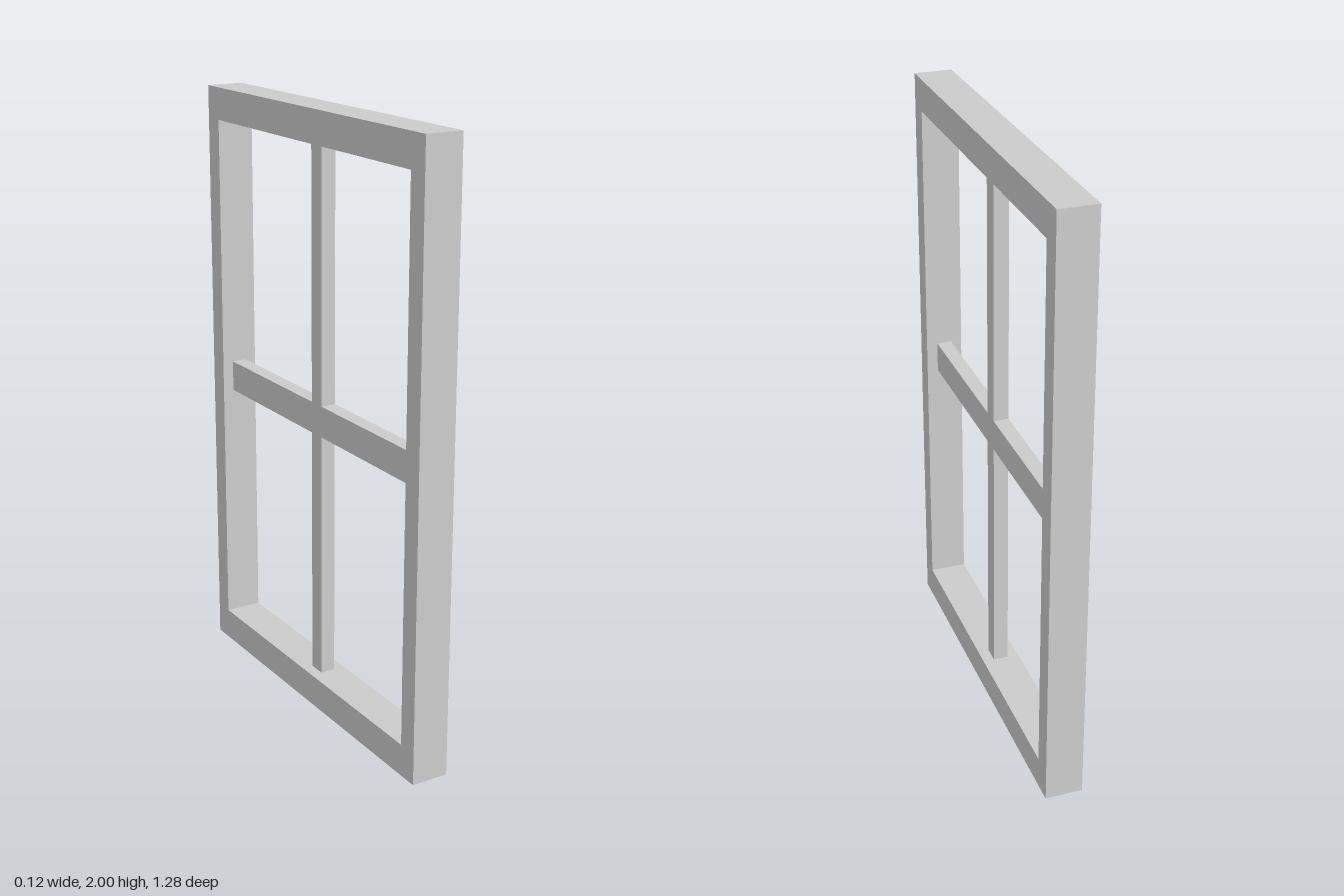
import * as THREE from 'three';

const HALF_WIDTH = 0.638, HEIGHT = 2;
const STILE = 0.069, RAIL = 0.107;               // frame member widths
const FRAME_DEPTH = 0.125, BAR_DEPTH = 0.05;
const BAR_HALF_W = 0.03, BAR_HALF_H = 0.052;     // glazing bar half widths

const material = new THREE.MeshStandardMaterial({ color: 0xcccccc, flatShading: true });

const points = (list) => list.map(([x, y]) => new THREE.Vector2(x, y));
const rect = (x, y0, y1) => points([[-x, y0], [x, y0], [x, y1], [-x, y1]]);

// Extrudes an outline centred on its depth and turns it to face along x
function panel(name, shape, depth) {
  const geometry = new THREE.ExtrudeGeometry(shape, { depth, bevelEnabled: false });
  geometry.translate(0, 0, -depth / 2).rotateY(Math.PI / 2);
  const mesh = new THREE.Mesh(geometry, material);
  mesh.name = name;
  return mesh;
}

export function createModel() {
  const model = new THREE.Group();
  model.name = 'windowFrame';

  const innerX = HALF_WIDTH - STILE, bottom = RAIL, top = HEIGHT - RAIL;

  // Outer frame with one large opening
  const outer = new THREE.Shape(rect(HALF_WIDTH, 0, HEIGHT));
  outer.holes.push(new THREE.Path(rect(innerX, bottom, top)));
  model.add(panel('outerFrame', outer, FRAME_DEPTH));

  // Thinner cross of glazing bars, centred in the frame depth
  const w = BAR_HALF_W, low = HEIGHT / 2 - BAR_HALF_H, high = HEIGHT / 2 + BAR_HALF_H;
  const cross = new THREE.Shape(points([
    [-w, bottom], [w, bottom], [w, low], [innerX, low], [innerX, high], [w, high],
    [w, top], [-w, top], [-w, high], [-innerX, high], [-innerX, low], [-w, low],
  ]));
  model.add(panel('glazingBars', cross, BAR_DEPTH));

  return model;
}
